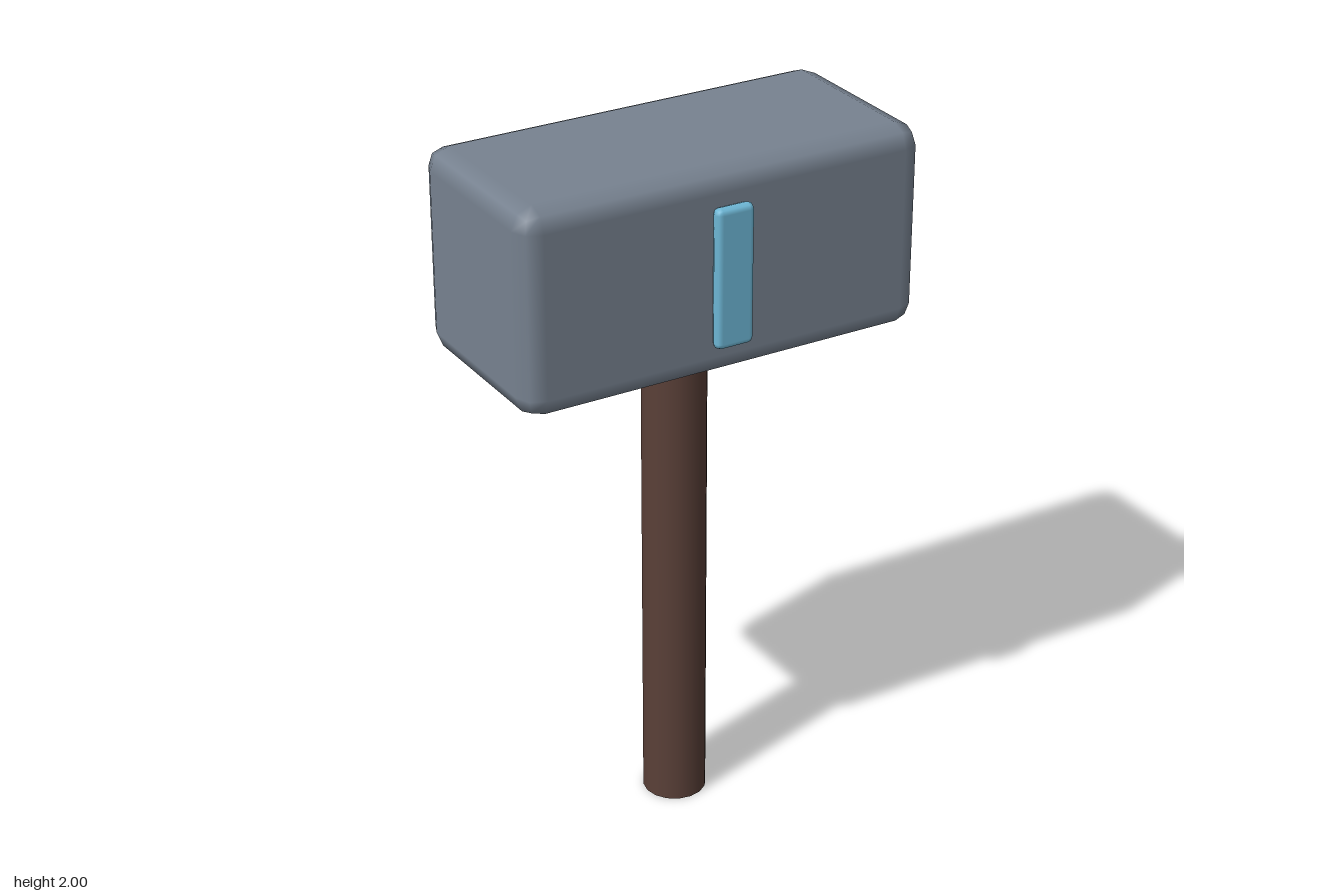
import * as THREE from 'three';
import { RoundedBoxGeometry } from 'three/addons/geometries/RoundedBoxGeometry.js';

const material = (name, color) => {
  const m = new THREE.MeshStandardMaterial({ color });
  m.name = name;
  return m;
};

export function createModel() {
  const hammer = new THREE.Group();
  hammer.name = 'hammer';

  const steel = material('steel grey', 0x778290);
  const wood = material('dark wood', 0x5a4038);
  const inlay = material('pale blue', 0x6fb9d8);

  const add = (name, geometry, mat, x, y, z) => {
    const mesh = new THREE.Mesh(geometry, mat);
    mesh.name = name;
    mesh.position.set(x, y, z);
    hammer.add(mesh);
  };

  // Block head with softly rounded edges
  add('head', new RoundedBoxGeometry(1.18, 0.57, 0.557, 1, 0.06), steel, 0, 1.715, -0.0165);

  // Straight round handle, its top set into the head
  add('handle', new THREE.CylinderGeometry(0.09, 0.09, 1.5, 16), wood, 0, 0.75, -0.0165);

  // Raised bar on the front of the head
  add('frontBar', new RoundedBoxGeometry(0.112, 0.39, 0.037, 1, 0.017), inlay, 0, 1.715, 0.2765);

  return hammer;
}
